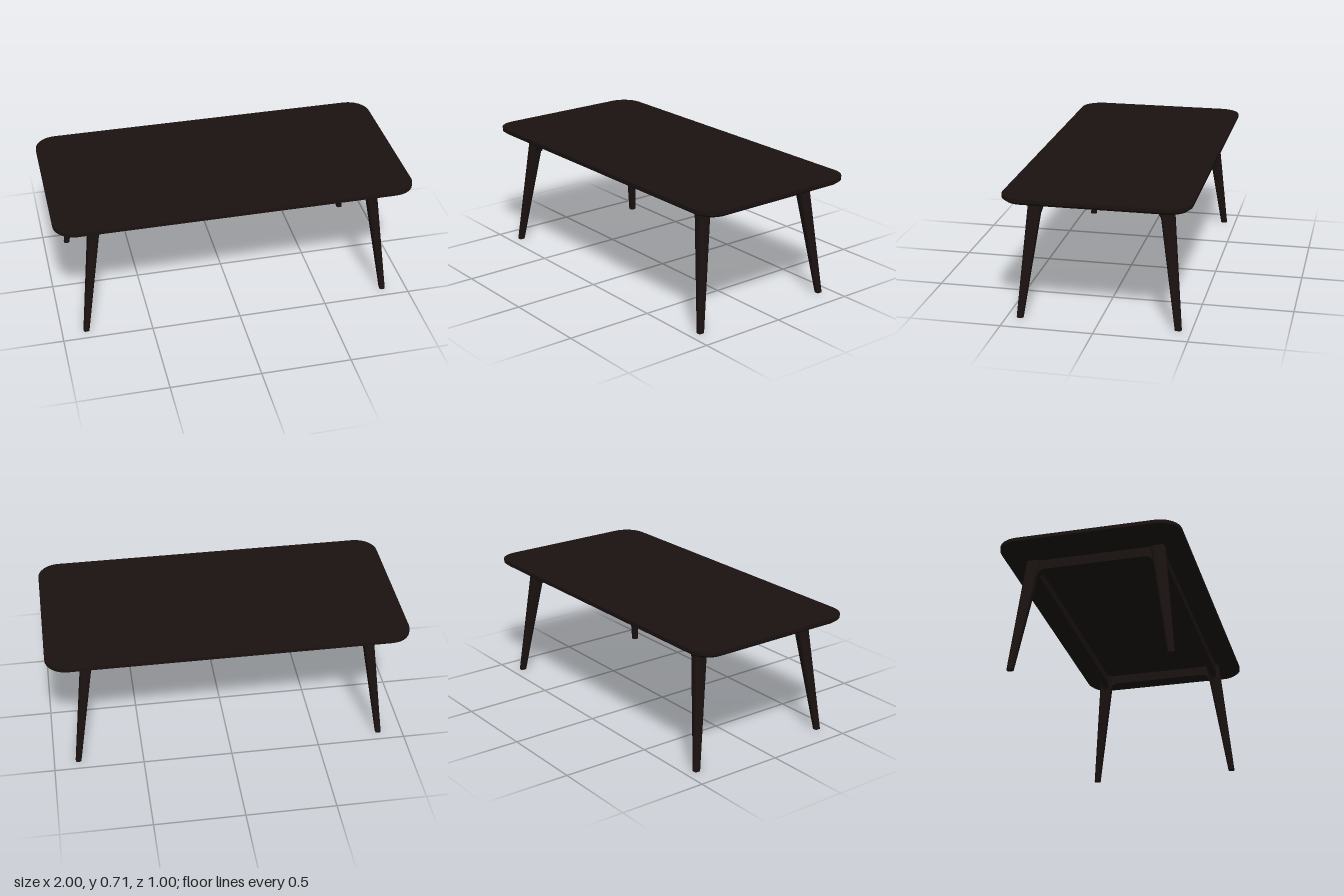
import * as THREE from 'three';
import { toCreasedNormals } from 'three/addons/utils/BufferGeometryUtils.js';

const material = new THREE.MeshStandardMaterial({ color: 0x1a1211 });
const CORNER_STEPS = 8;

// Rounded rectangle lying at height y
function ring({ x = 0, z = 0, y, w, d, r }) {
  const points = [];
  for (let q = 0; q < 4; q++) {
    const sx = q === 0 || q === 3 ? 1 : -1;
    const sz = q < 2 ? 1 : -1;
    for (let i = 0; i <= CORNER_STEPS; i++) {
      const a = (q + i / CORNER_STEPS) * Math.PI / 2;
      points.push([x + sx * (w / 2 - r) + r * Math.cos(a), y, z + sz * (d / 2 - r) + r * Math.sin(a)]);
    }
  }
  return points;
}

// Capped solid through a stack of sections, lowest first
function loft(sections) {
  const rings = sections.map(ring);
  const n = rings[0].length;
  const pos = [];
  const tri = (...corners) => corners.forEach((p) => pos.push(...p));
  const centre = ({ x = 0, z = 0, y }) => [x, y, z];
  const low = rings[0], high = rings[rings.length - 1];
  for (let i = 0; i < n; i++) {
    const j = (i + 1) % n;
    for (let k = 0; k < rings.length - 1; k++) {
      const a = rings[k], b = rings[k + 1];
      tri(a[i], b[i], a[j]);
      tri(a[j], b[i], b[j]);
    }
    tri(centre(sections[0]), low[i], low[j]);
    tri(centre(sections[sections.length - 1]), high[j], high[i]);
  }
  const geometry = new THREE.BufferGeometry();
  geometry.setAttribute('position', new THREE.Float32BufferAttribute(pos, 3));
  return toCreasedNormals(geometry, 0.5);
}

// Rail whose lower edge curves down into the legs; half = leg inner face at the rail
function apron(half, depth) {
  const s = new THREE.Shape();
  s.moveTo(-half - 0.022, 0.68);
  s.lineTo(-half - 0.022, 0.57);
  s.lineTo(-half - 0.009, 0.57);
  s.quadraticCurveTo(-half, 0.62, -half + 0.04, 0.62);
  s.lineTo(half - 0.04, 0.62);
  s.quadraticCurveTo(half, 0.62, half + 0.009, 0.57);
  s.lineTo(half + 0.022, 0.57);
  s.lineTo(half + 0.022, 0.68);
  s.closePath();
  const g = new THREE.ExtrudeGeometry(s, { depth, bevelEnabled: false, curveSegments: 10 });
  g.translate(0, 0, -depth / 2);
  return toCreasedNormals(g, 0.5);
}

export function createModel() {
  const table = new THREE.Group();
  table.name = 'table';
  const add = (name, geometry) => {
    const mesh = new THREE.Mesh(geometry, material);
    mesh.name = name;
    table.add(mesh);
    return mesh;
  };

  // Top with a chamfered underside edge
  add('tableTop', loft([
    { y: 0.675, w: 1.96, d: 0.96, r: 0.1 },
    { y: 0.69, w: 2, d: 1, r: 0.12 },
    { y: 0.71, w: 2, d: 1, r: 0.12 },
  ]));

  // Splayed, tapering legs
  for (const sx of [1, -1]) {
    for (const sz of [1, -1]) {
      add((sz > 0 ? 'front' : 'back') + (sx > 0 ? 'Left' : 'Right') + 'Leg', loft([
        { x: sx * 0.864, z: sz * 0.429, y: 0, w: 0.032, d: 0.036, r: 0.011 },
        { x: sx * 0.773, z: sz * 0.346, y: 0.68, w: 0.064, d: 0.078, r: 0.02 },
      ]));
    }
  }

  // Long and short rails under the top
  const longRail = apron(0.75, 0.036);
  const shortRail = apron(0.315, 0.034);
  for (const s of [1, -1]) {
    add(s > 0 ? 'frontApron' : 'backApron', longRail).position.z = s * 0.352;
    const side = add(s > 0 ? 'leftApron' : 'rightApron', shortRail);
    side.position.x = s * 0.777;
    side.rotation.y = Math.PI / 2;
  }
  return table;
}
